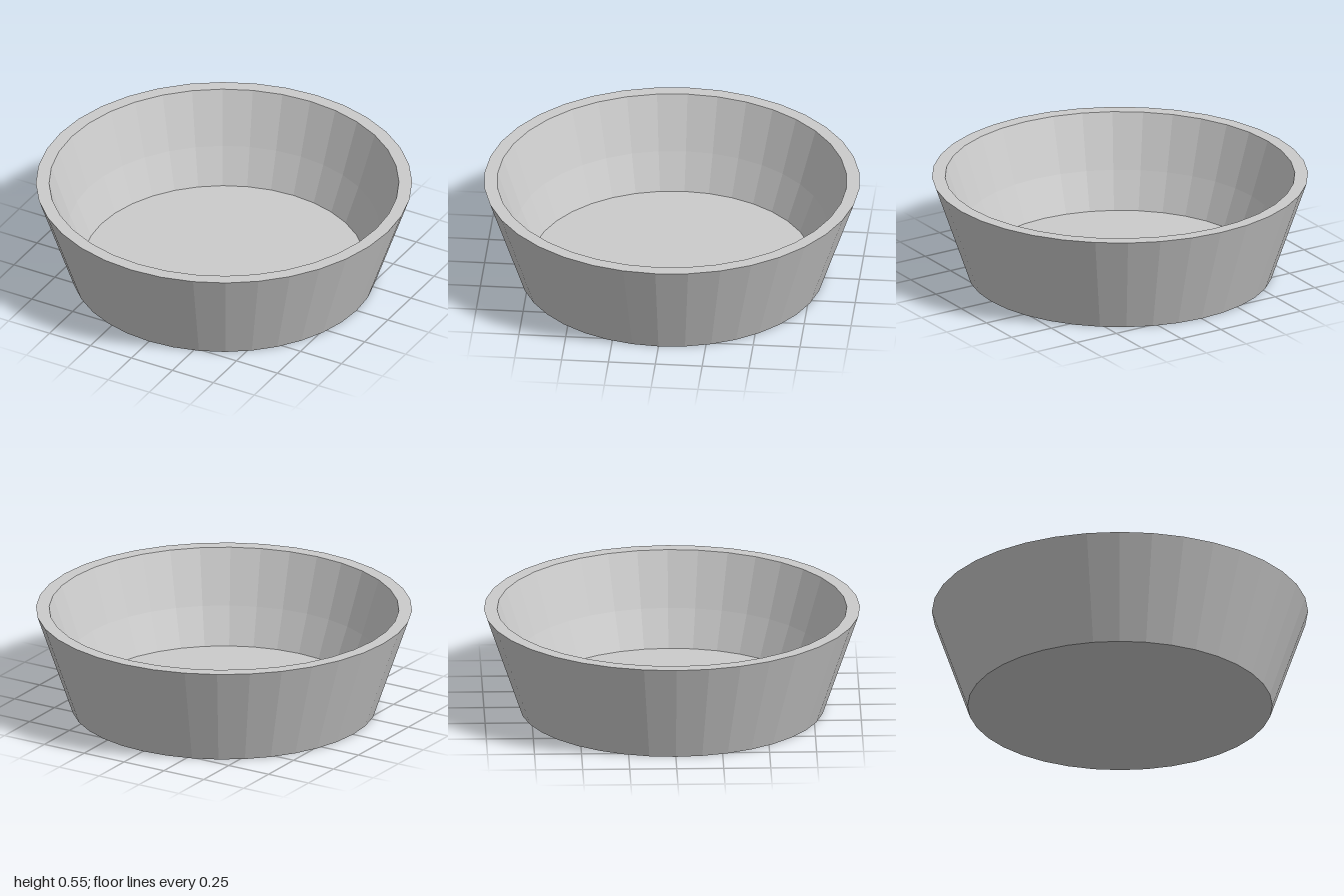
import * as THREE from 'three';

export function createModel() {
  const group = new THREE.Group();
  group.name = 'bowl';

  // Closed wall profile: underside, outer wall, flat rim, two-step inner wall, floor
  const profile = [
    [0, 0], [0.81, 0], [1, 0.553], [0.93, 0.553], [0.83, 0.26], [0.75, 0.06], [0, 0.06],
  ].map(([r, y]) => new THREE.Vector2(r, y));

  const material = new THREE.MeshStandardMaterial({ color: 0xcccccc, flatShading: true });
  const body = new THREE.Mesh(new THREE.LatheGeometry(profile, 36), material);
  body.name = 'bowlBody';
  group.add(body);
  return group;
}
